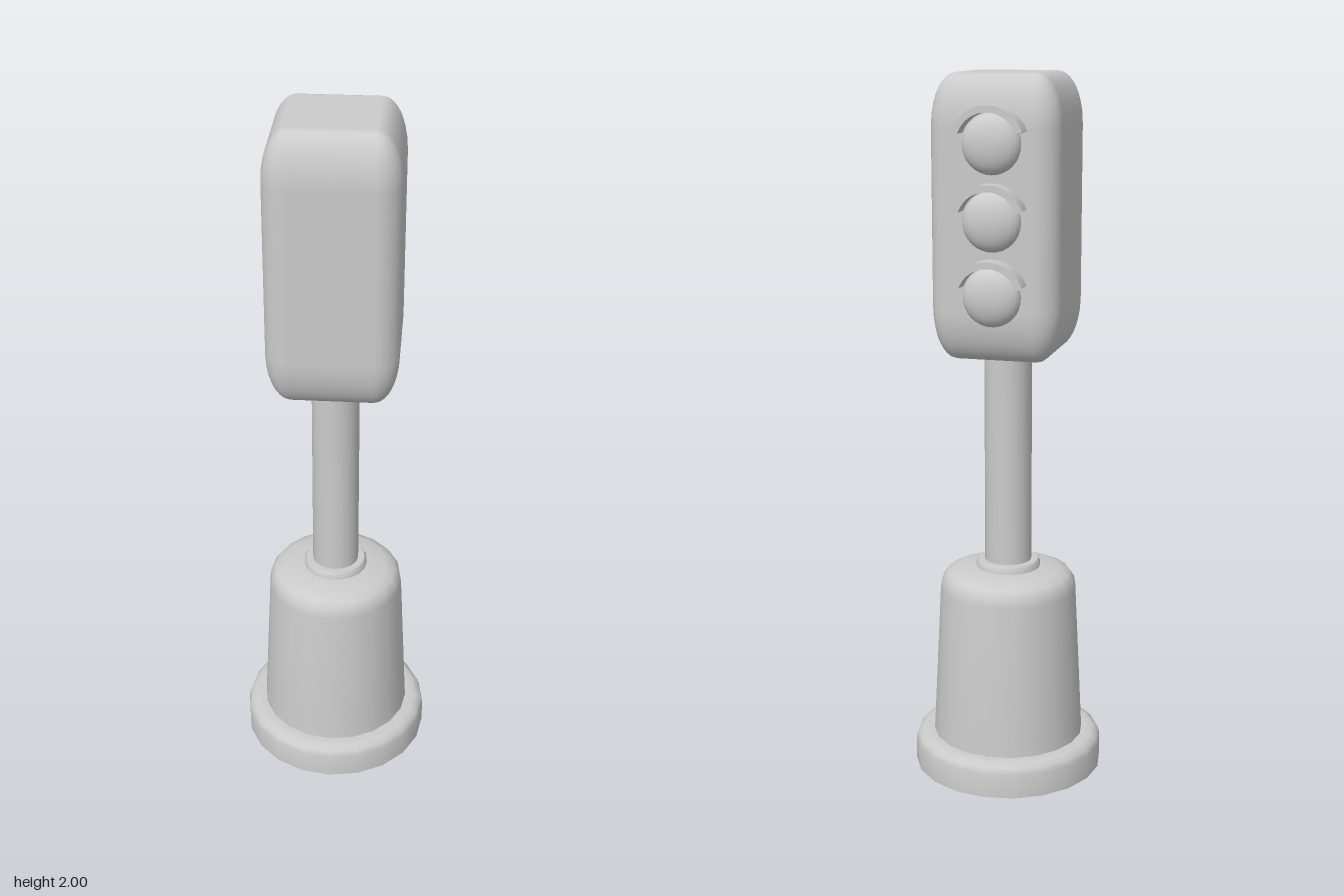
import * as THREE from 'three';
import { toCreasedNormals } from 'three/addons/utils/BufferGeometryUtils.js';
import { RoundedBoxGeometry } from 'three/addons/geometries/RoundedBoxGeometry.js';

const material = new THREE.MeshStandardMaterial({ color: 0xcccccc });

function addMesh(parent, name, geometry) {
  const mesh = new THREE.Mesh(geometry, material);
  mesh.name = name;
  parent.add(mesh);
  return mesh;
}

// Turned part from [radius, height] pairs, bottom to top
function turned(points, sides = 20) {
  const profile = points.map(([r, y]) => new THREE.Vector2(r, y));
  return toCreasedNormals(new THREE.LatheGeometry(profile, sides), 0.9);
}

// Curved hood: an arc band extruded along z
function visorGeometry(outer, inner, depth) {
  const start = 0.35;
  const end = Math.PI - start;
  const shape = new THREE.Shape();
  shape.absarc(0, 0, outer, start, end, false);
  shape.absarc(0, 0, inner, end, start, true);
  shape.closePath();
  const geometry = new THREE.ExtrudeGeometry(shape, { depth, bevelEnabled: false, curveSegments: 12 });
  return toCreasedNormals(geometry, 0.6);
}

export function createModel() {
  const model = new THREE.Group();
  model.name = 'trafficSignal';

  // Foot flange with rounded upper rim
  addMesh(model, 'foot', turned([
    [0, 0], [0.273, 0], [0.273, 0.07], [0.267, 0.088], [0.25, 0.097], [0.23, 0.098], [0, 0.098],
  ]));

  // Tapered pedestal with rounded shoulder
  addMesh(model, 'pedestal', turned([
    [0, 0.09], [0.219, 0.09], [0.217, 0.12], [0.196, 0.54], [0.192, 0.567],
    [0.178, 0.586], [0.152, 0.597], [0.09, 0.605], [0, 0.605],
  ]));

  // Collar and pole
  addMesh(model, 'collar', turned([
    [0, 0.59], [0.092, 0.59], [0.092, 0.618], [0.086, 0.626], [0, 0.626],
  ]));
  addMesh(model, 'pole', turned([[0, 0.6], [0.067, 0.6], [0.067, 1.26], [0, 1.26]]));

  // Signal housing: rounded box stretched upward
  const stretch = 2.1;
  const housing = new RoundedBoxGeometry(0.358, 0.767 / stretch, 0.366, 4, 0.068);
  housing.scale(1, stretch, 1);
  addMesh(model, 'housing', housing).position.y = 1.6165;

  // Three lamps on the back, each a domed lens under a hood
  const lensGeometry = new THREE.SphereGeometry(0.08, 24, 16).scale(1, 1, 0.5);
  const hoodGeometry = visorGeometry(0.101, 0.083, 0.076);
  [1.82, 1.618, 1.418].forEach((y, i) => {
    const lamp = new THREE.Group();
    lamp.name = `lamp${i + 1}`;
    lamp.position.set(-0.004, y, 0);
    addMesh(lamp, 'lens', lensGeometry).position.z = -0.185;
    addMesh(lamp, 'hood', hoodGeometry).position.z = -0.234;
    model.add(lamp);
  });

  return model;
}
